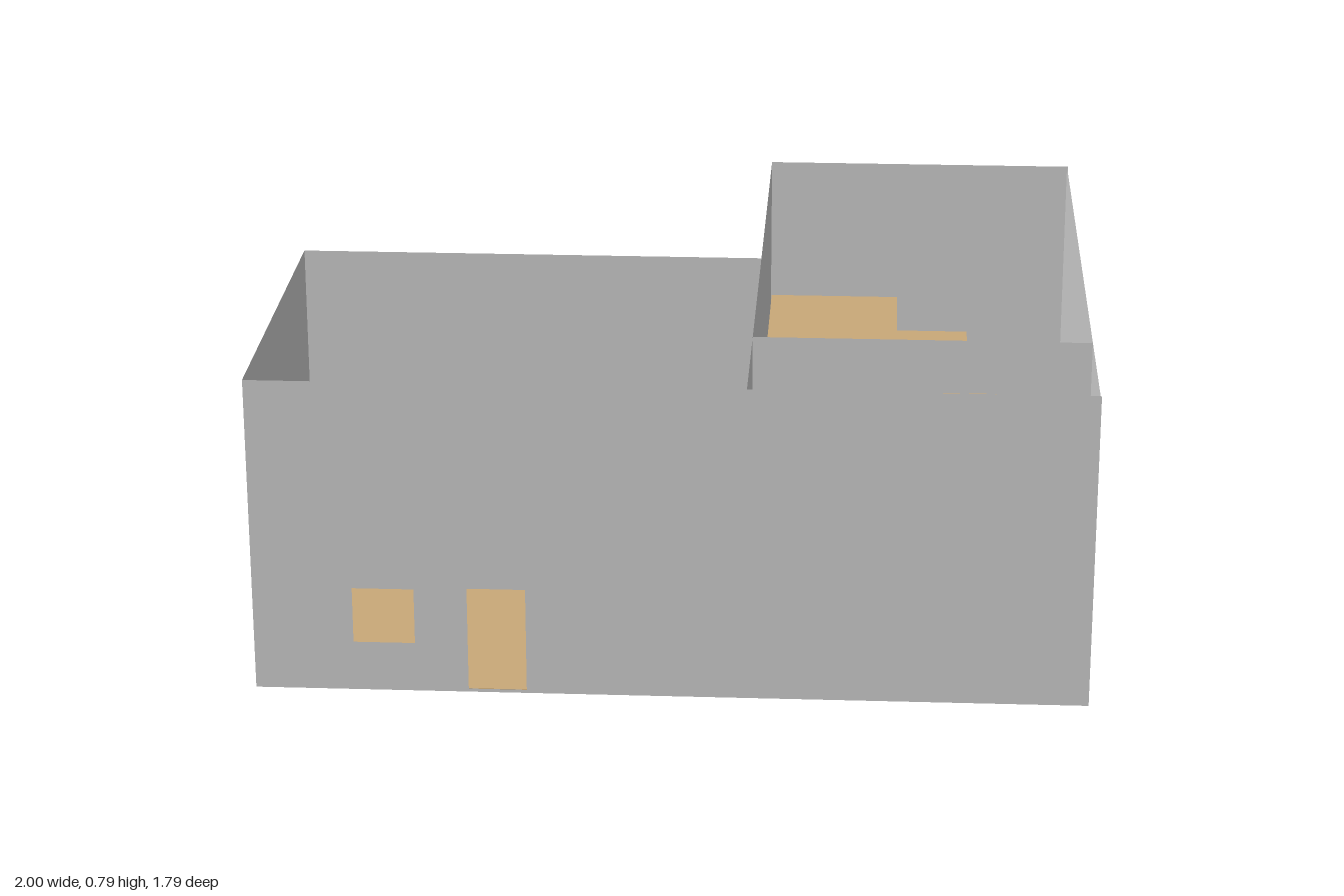
import * as THREE from 'three';

const H = 0.79, STOREY = 0.4, T = 0.008;

export function createModel() {
  const house = new THREE.Group();
  house.name = 'house';

  const wallMat = new THREE.MeshStandardMaterial({ color: 0xcccccc, side: THREE.DoubleSide });
  wallMat.name = 'pale grey wall';
  const floorMat = new THREE.MeshStandardMaterial({ color: 0xc9a978 });
  floorMat.name = 'tan floor';
  const brownMat = new THREE.MeshStandardMaterial({ color: 0x6b4028 });
  brownMat.name = 'dark brown wood';

  const add = (name, geometry, material, x = 0, y = 0, z = 0) => {
    const mesh = new THREE.Mesh(geometry, material);
    mesh.name = name;
    mesh.position.set(x, y, z);
    house.add(mesh);
    return mesh;
  };
  const outline = (points) => new THREE.Shape(points.map(([x, y]) => new THREE.Vector2(x, y)));

  // Thin wall from u0 to u1 with rectangular openings [u0, y0, u1, y1]
  const wall = (name, u0, u1, openings = []) => {
    const shape = outline([[u0, 0], [u1, 0], [u1, H], [u0, H]]);
    for (const [a, b, c, d] of openings) {
      shape.holes.push(outline([[a, b], [a, d], [c, d], [c, b]]));
    }
    return add(name, new THREE.ShapeGeometry(shape), wallMat);
  };
  const wallAlongX = (name, z, x0, x1, openings) => {
    wall(name, x0, x1, openings).position.z = z;
  };
  const wallAlongZ = (name, x, z0, z1, openings) => {
    const mesh = wall(name, z0, z1, openings);
    mesh.rotation.y = -Math.PI / 2;
    mesh.position.x = x;
  };

  // Outer walls, with a window and a door in the front
  wallAlongX('frontWall', 0.895, -1, 1, [
    [-0.76, 0.125, -0.612, 0.265],
    [-0.485, T, -0.345, 0.27],
  ]);
  wallAlongX('wingBackWall', -0.06, -1, 0.18);
  wallAlongX('backWall', -0.9, 0.18, 1);
  wallAlongZ('rightWall', 0.997, -0.9, 0.895);
  wallAlongZ('leftWall', -1, -0.06, 0.895);

  // Inner partitions with a doorway on each storey
  wallAlongZ('longPartition', 0.18, -0.9, 0.895, [
    [0.25, T, 0.39, 0.265],
    [0.25, STOREY, 0.39, 0.655],
  ]);
  wallAlongX('crossPartition', 0.535, 0.18, 0.997, [
    [0.63, T, 0.77, 0.265],
    [0.63, STOREY, 0.77, 0.655],
  ]);

  // Floors given as [x, z] outlines, top face at the given height
  const floor = (name, top, points) => {
    const shape = outline(points.map(([x, z]) => [x, -z]));
    const geometry = new THREE.ExtrudeGeometry(shape, { depth: T, bevelEnabled: false });
    geometry.rotateX(-Math.PI / 2);
    add(name, geometry, floorMat, 0, top - T, 0);
  };
  const L = -0.998, R = 0.995, F = 0.893, B = -0.898;
  floor('groundFloor', T, [[L, F], [R, F], [R, B], [0.182, B], [0.182, -0.058], [L, -0.058]]);
  // The upper floor leaves a stairwell in the back corner
  floor('upperFloor', STOREY, [
    [L, F], [R, F], [R, -0.38], [0.725, -0.38], [0.725, -0.62], [0.535, -0.62],
    [0.535, B], [0.182, B], [0.182, -0.058], [L, -0.058],
  ]);

  // Box by its limits
  const block = (name, material, x0, x1, y0, y1, z0, z1) =>
    add(name, new THREE.BoxGeometry(x1 - x0, y1 - y0, z1 - z0), material,
      (x0 + x1) / 2, (y0 + y1) / 2, (z0 + z1) / 2);

  // Stairwell: landing, lower ledge, post and wooden steps
  block('landing', wallMat, 0.775, 0.999, 0.17, 0.2, -0.899, -0.68);
  block('landingLedge', wallMat, 0.71, 0.993, 0.14, 0.17, -0.68, -0.62);
  block('landingPost', wallMat, 0.735, 0.775, T, 0.14, -0.63, -0.57);
  for (let i = 0; i < 2; i++) {
    const z = -0.38 - i * 0.07;
    block('woodenStep', brownMat, 0.85, 0.993, T, 0.05 + i * 0.04, z - 0.07, z);
  }
  return house;
}
